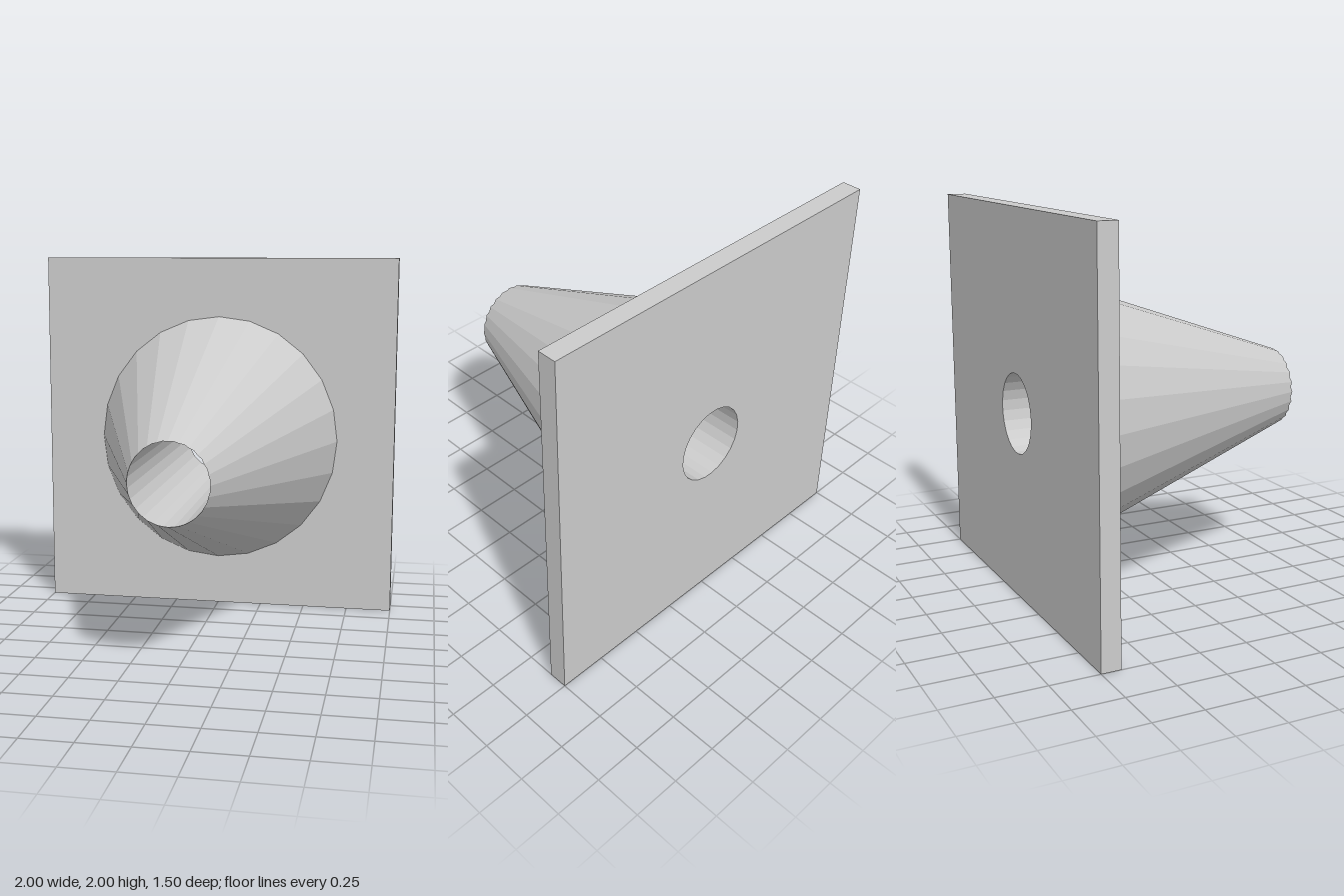
import * as THREE from 'three';

const SIDES = 24, CENTRE_Y = 0.974, STRETCH = 1.025; // round parts are slightly taller than wide
const BACK = -0.75, PLATE_FRONT = -0.65, TIP = 0.75;
const BASE_R = 0.68, BORE_R = 0.2;
const STEP = Math.PI / SIDES; // half a facet
const FLAT = Math.cos(STEP);  // mid-facet radius over corner radius

// Point on an ellipse around the axis; k counts half facets from the top
const point = (k, r, z) => [
  r * Math.sin(k * STEP),
  CENTRE_Y + r * STRETCH * Math.cos(k * STEP),
  z,
];

// Cone corners lie on even k, bore corners on odd k
const coneR = (k) => BASE_R * (k % 2 ? FLAT : 1);
const boreR = (k) => BORE_R * (k % 2 ? 1 : FLAT);

// The bore cuts the cone in a scalloped rim
const slope = (BASE_R - BORE_R * FLAT) / (TIP - PLATE_FRONT);
const rimZ = (k) => PLATE_FRONT + (BASE_R - boreR(k) * BASE_R / coneR(k)) / slope;

// Skin between two loops of points
function skin(first, second) {
  const pos = [];
  for (let k = 0; k < 2 * SIDES; k++) {
    const a = first(k), b = first(k + 1), c = second(k + 1), d = second(k);
    pos.push(...a, ...b, ...c, ...a, ...c, ...d);
  }
  const geo = new THREE.BufferGeometry();
  geo.setAttribute('position', new THREE.Float32BufferAttribute(pos, 3));
  geo.computeVertexNormals();
  return geo;
}

export function createModel() {
  const group = new THREE.Group();
  const material = new THREE.MeshStandardMaterial({
    color: 0xcccccc, flatShading: true, side: THREE.DoubleSide,
  });
  const add = (name, geometry) => {
    const mesh = new THREE.Mesh(geometry, material);
    mesh.name = name;
    group.add(mesh);
    return mesh;
  };

  // Square plate with a through hole
  const square = new THREE.Shape([
    new THREE.Vector2(-1, 0), new THREE.Vector2(1, 0),
    new THREE.Vector2(1, 2), new THREE.Vector2(-1, 2),
  ]);
  const hole = [];
  for (let k = 1; k < 2 * SIDES; k += 2) {
    const [x, y] = point(k, BORE_R, 0);
    hole.push(new THREE.Vector2(x, y));
  }
  square.holes.push(new THREE.Path(hole));
  const plate = new THREE.ExtrudeGeometry(square, { depth: PLATE_FRONT - BACK, bevelEnabled: false });
  add('backPlate', plate).position.z = BACK;

  // Faceted cone, from the plate to the rim
  const rim = (k) => point(k, boreR(k), rimZ(k));
  add('cone', skin(rim, (k) => point(k, coneR(k), PLATE_FRONT)));

  // Bore wall, from the plate to the rim
  add('bore', skin((k) => point(k, boreR(k), PLATE_FRONT), rim));

  return group;
}
